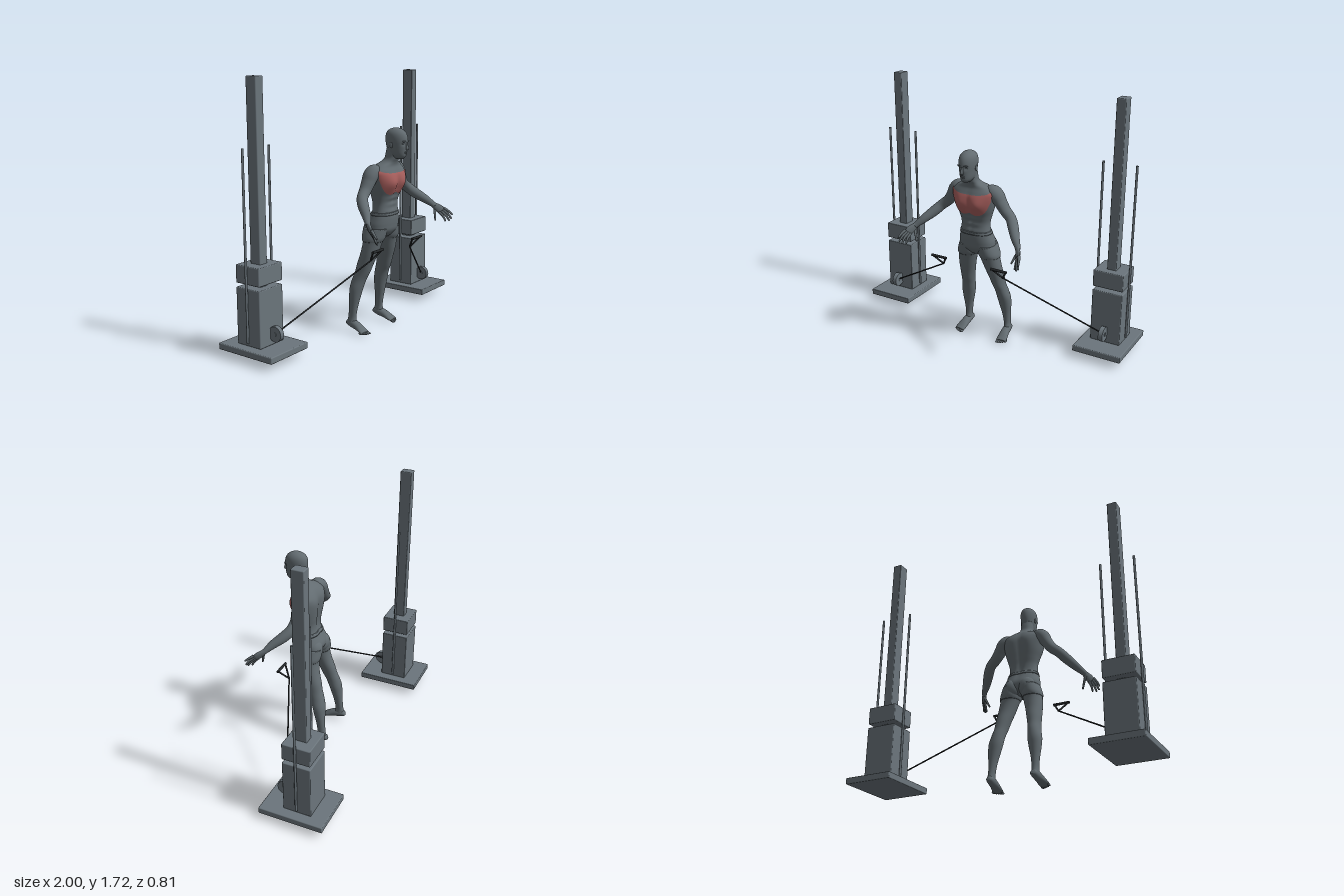
import * as THREE from 'three';
import { RoundedBoxGeometry } from 'three/addons/geometries/RoundedBoxGeometry.js';

const mat = (name, color) => Object.assign(new THREE.MeshStandardMaterial({ color }), { name });
const V = (x, y, z) => new THREE.Vector3(x, y, z);
const bell = (d, w) => Math.exp(-(d * d) / (w * w));

// Catmull-Rom through rows of numbers
function sample(rows, t) {
  const n = rows.length - 1, k = Math.min(Math.max(t, 0), 1) * n, i = Math.min(Math.floor(k), n - 1), f = k - i;
  const at = j => rows[Math.min(Math.max(j, 0), n)];
  return rows[0].map((_, c) => {
    const [p, q, r, s] = [at(i - 1)[c], at(i)[c], at(i + 1)[c], at(i + 2)[c]];
    return q + 0.5 * f * (r - p + f * (2 * p - 5 * q + 4 * r - s + f * (3 * (q - r) + s - p)));
  });
}

// Grid surface from fn(u, v); closed surfaces wrap in u and get end caps
function surface(fn, nu, nv, closed = true) {
  const pos = [], index = [], cols = closed ? nu : nu + 1;
  for (let j = 0; j <= nv; j++) for (let i = 0; i < cols; i++) pos.push(...fn(i / nu, j / nv));
  const id = (i, j) => j * cols + (closed ? i % nu : i);
  for (let j = 0; j < nv; j++) for (let i = 0; i < nu; i++) {
    index.push(id(i, j), id(i + 1, j), id(i + 1, j + 1), id(i, j), id(i + 1, j + 1), id(i, j + 1));
  }
  if (closed) for (const j of [0, nv]) {
    const c = [0, 0, 0], centre = pos.length / 3;
    for (let i = 0; i < nu; i++) for (let k = 0; k < 3; k++) c[k] += pos[id(i, j) * 3 + k] / nu;
    pos.push(...c);
    for (let i = 0; i < nu; i++) index.push(centre, ...(j ? [id(i, j), id(i + 1, j)] : [id(i + 1, j), id(i, j)]));
  }
  const g = new THREE.BufferGeometry();
  g.setAttribute('position', new THREE.Float32BufferAttribute(pos, 3));
  g.setIndex(index);
  g.computeVertexNormals();
  return g;
}

// Point on a level section [y, centreX, front, back, halfWidth]
function sectionPoint([y, cx, front, back, hw], a, grow = 0, p = 1) {
  const s = Math.sin(a), c = Math.cos(a), pw = v => Math.sign(v) * Math.abs(v) ** p;
  return [cx + (hw + grow) * pw(s), y, (front + back) / 2 + ((front - back) / 2 + grow) * pw(c)];
}
const stack = (rows, nu, nv, grow = 0) =>
  surface((u, v) => sectionPoint(sample(rows, v), u * Math.PI * 2, grow, 0.95), nu, nv);

// Limb along rows [x, y, z, halfWidth, halfDepth], width lying along 'side'
function limb(rows, side, nu, nv) {
  return surface((u, v) => {
    const r = sample(rows, v), b = sample(rows, v + 0.01), c = sample(rows, v - 0.01);
    const T = V(b[0] - c[0], b[1] - c[1], b[2] - c[2]).normalize();
    const U = side.clone().addScaledVector(T, -side.dot(T)).normalize();
    const a = u * Math.PI * 2;
    return V(r[0], r[1], r[2]).addScaledVector(U, r[3] * Math.sin(a))
      .addScaledVector(U.clone().cross(T), r[4] * Math.cos(a)).toArray();
  }, nu, nv);
}

function blob(x, y, z, rx, ry, rz) {
  return new THREE.SphereGeometry(1, 20, 14).scale(rx, ry, rz).translate(x, y, z);
}
function rod(a, b, r) {
  const d = b.clone().sub(a);
  const g = new THREE.CylinderGeometry(r, r, d.length(), 12);
  g.applyQuaternion(new THREE.Quaternion().setFromUnitVectors(V(0, 1, 0), d.normalize()));
  return g.translate(...a.clone().add(b).multiplyScalar(0.5).toArray());
}
function mirrored(geo) {
  const g = geo.clone().scale(-1, 1, 1);
  if (!g.index) g.setIndex([...Array(g.attributes.position.count).keys()]);
  const ix = g.index.array;
  for (let i = 0; i < ix.length; i += 3) [ix[i], ix[i + 1]] = [ix[i + 1], ix[i]];
  g.normalizeNormals();
  const n = g.attributes.normal, p = geo.attributes.normal;
  for (let i = 0; i < n.count; i++) n.setXYZ(i, -p.getX(i), p.getY(i), p.getZ(i));
  return g;
}

// Torso sections, crotch to neck
const TORSO = [
  [0.655, 0, 0.17, 0.08, 0.04], [0.70, 0, 0.205, 0.045, 0.115], [0.74, 0, 0.214, 0.04, 0.125],
  [0.79, 0, 0.218, 0.062, 0.113], [0.83, 0, 0.216, 0.08, 0.102], [0.88, 0, 0.212, 0.083, 0.1],
  [0.93, 0, 0.22, 0.076, 0.113], [0.98, 0, 0.234, 0.07, 0.13], [1.03, 0, 0.246, 0.068, 0.142],
  [1.07, 0, 0.247, 0.07, 0.15], [1.10, 0, 0.238, 0.08, 0.15], [1.13, 0, 0.228, 0.1, 0.115],
  [1.155, 0, 0.232, 0.13, 0.066], [1.18, 0, 0.244, 0.153, 0.046], [1.22, 0, 0.255, 0.163, 0.043], [1.25, 0, 0.255, 0.17, 0.042],
];
function torsoPoint(a, t, grow = 0) {
  const p = sectionPoint(sample(TORSO, t), a, grow, 0.85), [x, y] = p, c = Math.cos(a), ax = Math.abs(x);
  if (c > 0) { // chest, sternum and abdominal grooves
    p[2] += c * (0.022 * bell(ax - 0.065, 0.055) * bell(y - 1.015, 0.055) - 0.006 * bell(x, 0.012) * bell(y - 0.96, 0.12));
    p[2] -= c * 0.003 * bell(ax, 0.06) * bell(y - 0.89, 0.06) * (1 + Math.cos(y * 140));
  } else { // spine groove and shoulder blades
    p[2] -= c * 0.014 * bell(x, 0.02) * bell(y - 0.95, 0.15);
    p[2] += c * 0.008 * bell(ax - 0.075, 0.04) * bell(y - 1.05, 0.06);
  }
  return p;
}
function torsoT(y) {
  let lo = 0, hi = 1;
  for (let i = 0; i < 24; i++) { const m = (lo + hi) / 2; if (sample(TORSO, m)[0] < y) lo = m; else hi = m; }
  return lo;
}

const HEAD = [
  [1.18, 0, 0.288, 0.22, 0.02], [1.195, 0, 0.303, 0.19, 0.034], [1.215, 0, 0.308, 0.175, 0.043],
  [1.25, 0, 0.312, 0.165, 0.049], [1.29, 0, 0.316, 0.157, 0.054], [1.325, 0, 0.311, 0.158, 0.054],
  [1.35, 0, 0.298, 0.168, 0.047], [1.368, 0, 0.275, 0.19, 0.031], [1.377, 0, 0.245, 0.22, 0.008],
];
const LEG = [
  [0.05, 0.156, 0.02, -0.05, 0.02], [0.07, 0.156, 0.025, -0.046, 0.024], [0.11, 0.154, 0.02, -0.037, 0.022],
  [0.18, 0.151, 0.03, -0.032, 0.029], [0.25, 0.146, 0.046, -0.03, 0.041], [0.31, 0.14, 0.062, -0.028, 0.047],
  [0.37, 0.13, 0.082, -0.016, 0.043], [0.42, 0.121, 0.106, 0, 0.043], [0.48, 0.112, 0.127, 0.014, 0.049],
  [0.55, 0.1, 0.152, 0.034, 0.057], [0.62, 0.086, 0.172, 0.044, 0.064], [0.66, 0.078, 0.188, 0.036, 0.067], [0.72, 0.066, 0.2, 0.035, 0.058],
];
const ARM = [
  [0.085, 1.1, 0.15, 0.035, 0.035], [0.125, 1.098, 0.146, 0.047, 0.05], [0.155, 1.075, 0.142, 0.047, 0.052],
  [0.18, 1.035, 0.14, 0.04, 0.047], [0.215, 0.985, 0.14, 0.036, 0.04], [0.262, 0.945, 0.153, 0.034, 0.036],
  [0.3, 0.905, 0.19, 0.034, 0.035], [0.345, 0.86, 0.245, 0.028, 0.028], [0.382, 0.823, 0.282, 0.02, 0.018], [0.39, 0.813, 0.293, 0.02, 0.016],
];

export function createModel() {
  const body = mat('body grey', 0x626b70), steel = mat('machine grey', 0x6b757c);
  const red = mat('chest red', 0xa65e5c), dark = mat('cable black', 0x25282a);
  const model = new THREE.Group();
  const figure = new THREE.Group(), machines = new THREE.Group();
  figure.name = 'figure';
  machines.name = 'cableMachines';
  model.add(figure, machines);
  const add = (parent, name, geo, m) => {
    const mesh = new THREE.Mesh(geo, m);
    mesh.name = name;
    parent.add(mesh);
  };
  const pair = (parent, name, geo, m) => {
    add(parent, name + 'Left', geo, m);
    add(parent, name + 'Right', mirrored(geo), m);
  };

  // Torso, chest muscle plate and waistband
  add(figure, 'torso', surface((u, v) => torsoPoint(u * Math.PI * 2, v), 72, 100), body);
  add(figure, 'chest', surface((u, v) => {
    const s = u * 2 - 1, low = 0.945 + 0.1 * s ** 4 + 0.012 * bell(s, 0.12), high = 1.088 + 0.022 * s * s;
    return torsoPoint(s * 1.2, torsoT(low + (high - low) * v), 0.003);
  }, 48, 24, false), red);
  add(figure, 'waistband', surface((u, v) => torsoPoint(u * Math.PI * 2, torsoT(0.805 + 0.02 * v), 0.004), 64, 4), body);

  // Head and face
  add(figure, 'head', surface((u, v) => {
    const a = u * Math.PI * 2, p = sectionPoint(sample(HEAD, v), a);
    if (Math.cos(a) > 0) p[2] -= 0.008 * bell(Math.abs(p[0]) - 0.021, 0.013) * bell(p[1] - 1.278, 0.012);
    return p;
  }, 48, 48), body);
  add(figure, 'nose', limb([[0, 1.285, 0.31, 0.006, 0.006], [0, 1.262, 0.316, 0.008, 0.008],
    [0, 1.247, 0.318, 0.012, 0.009], [0, 1.238, 0.312, 0.006, 0.004]], V(-1, 0, 0), 16, 12), body);
  add(figure, 'upperLip', blob(0, 1.225, 0.307, 0.016, 0.004, 0.006), body);
  add(figure, 'lowerLip', blob(0, 1.217, 0.306, 0.014, 0.004, 0.006), body);
  pair(figure, 'brow', blob(0.02, 1.294, 0.306, 0.019, 0.005, 0.008), body);
  pair(figure, 'eye', blob(0.021, 1.279, 0.297, 0.009, 0.006, 0.006), body);
  pair(figure, 'ear', blob(0.053, 1.268, 0.228, 0.006, 0.019, 0.012), body);

  // Legs, shorts and feet
  pair(figure, 'leg', stack(LEG, 36, 70), body);
  pair(figure, 'shortsLeg', stack([[0.632, 0.084, 0.174, 0.044, 0.064], ...LEG.slice(-2)], 36, 12, 0.004), body);
  pair(figure, 'buttock', blob(0.056, 0.705, 0.085, 0.062, 0.068, 0.057), body);
  pair(figure, 'foot', limb([[0.154, 0.066, -0.054, 0.009, 0.01], [0.154, 0.064, -0.045, 0.02, 0.02],
    [0.156, 0.062, -0.01, 0.026, 0.03], [0.16, 0.047, 0.04, 0.03, 0.026],
    [0.165, 0.026, 0.085, 0.036, 0.016], [0.167, 0.017, 0.108, 0.034, 0.01]], V(-1, 0, 0), 28, 24), body);
  for (let i = 0; i < 5; i++) {
    pair(figure, 'toe' + (i + 1), blob(0.143 + i * 0.0135, 0.012 + i * 0.001, 0.116 - i * i * 0.0015, i ? 0.007 : 0.009, 0.008, 0.018), body);
  }

  // Arms and hands
  const across = V(-0.6, -0.6, -0.5).normalize();
  pair(figure, 'arm', limb(ARM, V(1, 1, 0).normalize(), 32, 60), body);
  pair(figure, 'palm', limb([[0.383, 0.822, 0.283, 0.018, 0.015], [0.395, 0.806, 0.302, 0.024, 0.014],
    [0.408, 0.79, 0.322, 0.028, 0.012], [0.418, 0.778, 0.338, 0.024, 0.009]], across, 24, 16), body);
  const fingers = [
    [[0.392, 0.795, 0.292], [0.375, 0.757, 0.305], [0.36, 0.722, 0.318]],
    [[0.402, 0.77, 0.323], [0.409, 0.742, 0.35], [0.41, 0.712, 0.367]],
    [[0.411, 0.776, 0.333], [0.424, 0.745, 0.365], [0.43, 0.714, 0.386]],
    [[0.42, 0.784, 0.34], [0.436, 0.756, 0.371], [0.446, 0.727, 0.392]],
    [[0.428, 0.794, 0.345], [0.442, 0.775, 0.373], [0.449, 0.755, 0.396]],
  ];
  fingers.forEach(([a, b, c], i) => pair(figure, i ? 'finger' + i : 'thumb', limb([[...a, 0.01, 0.01], [...b, 0.008, 0.008],
    [...c, 0.006, 0.006], [c[0], c[1] - 0.003, c[2] + 0.002, 0.002, 0.002]], across, 12, 14), body));

  // Cable machines
  const X = 0.833, Z = -0.208;
  const block = (name, w, y0, y1, d, z = Z) =>
    pair(machines, name, new RoundedBoxGeometry(w, y1 - y0, d, 2, 0.006).translate(X, (y0 + y1) / 2, z), steel);
  block('basePlate', 0.334, 0.05, 0.092, 0.436, -0.187);
  block('weightStack', 0.208, 0.092, 0.455, 0.19);
  block('upperWeight', 0.208, 0.48, 0.595, 0.19);
  block('post', 0.064, 0.09, 1.72, 0.08);
  block('pulleyBracket', 0.02, 0.16, 0.18, 0.06, -0.1);
  for (const [name, x] of [['innerGuideRod', 0.722], ['outerGuideRod', 0.946]]) {
    pair(machines, name, rod(V(x, 0.115, Z), V(x, 1.305, Z), 0.008), steel);
  }
  pair(machines, 'pulley', rod(V(X - 0.015, 0.17, -0.078), V(X + 0.015, 0.17, -0.078), 0.05), steel);
  pair(machines, 'pulleyHub', rod(V(X - 0.019, 0.17, -0.078), V(X + 0.019, 0.17, -0.078), 0.014), steel);

  // Cables and triangular handles
  const tip = V(0.23, 0.54, 0.195), inner = V(0.177, 0.612, 0.25), outer = V(0.281, 0.612, 0.25);
  pair(machines, 'cable', rod(V(0.818, 0.177, -0.078), tip, 0.005), dark);
  pair(machines, 'handleInnerStrap', rod(tip, inner, 0.006), dark);
  pair(machines, 'handleOuterStrap', rod(tip, outer, 0.006), dark);
  pair(machines, 'handleGrip', rod(V(0.171, 0.612, 0.25), V(0.287, 0.612, 0.25), 0.009), dark);
  return model;
}
